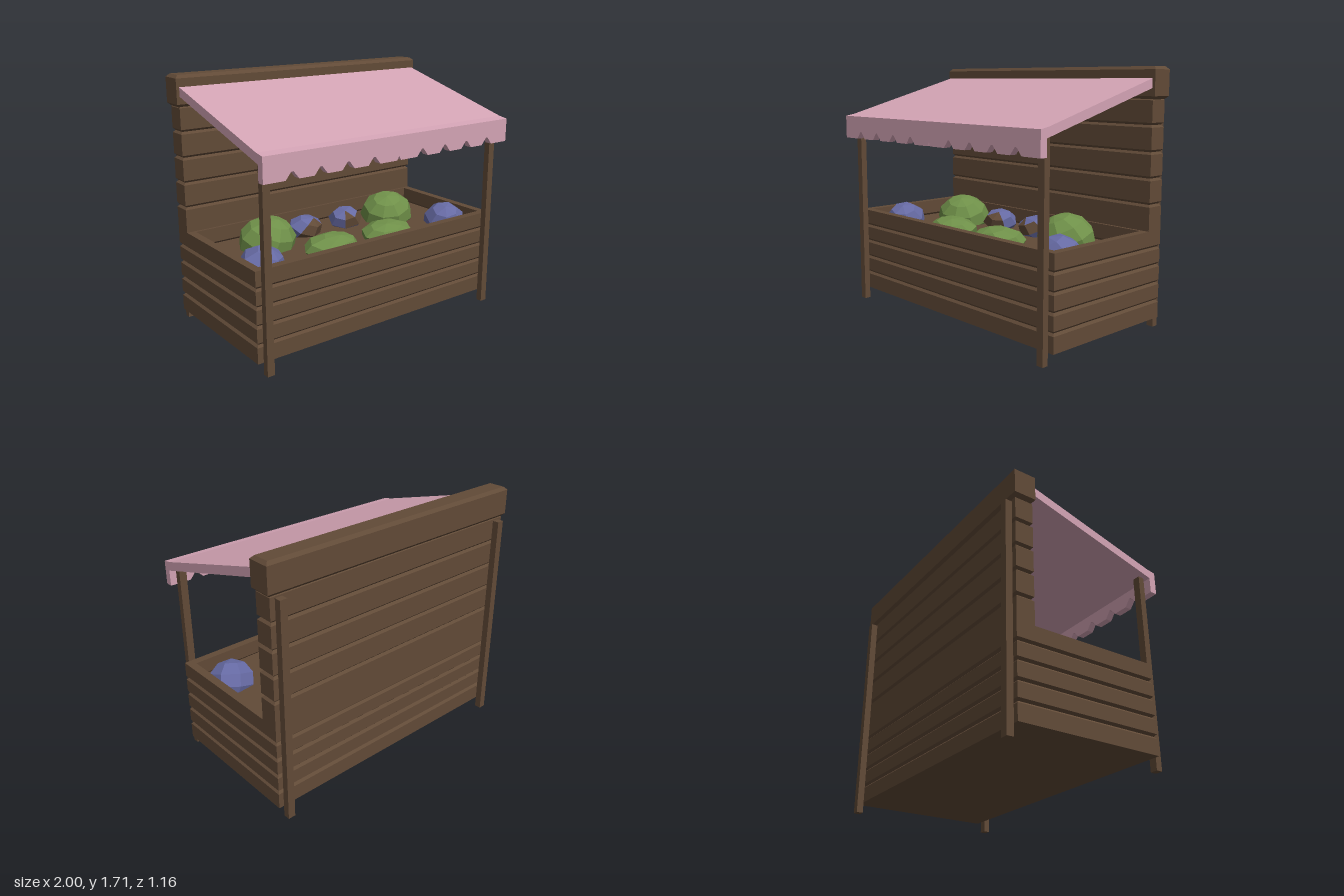
import * as THREE from 'three';

const flat = (name, color) => {
  const m = new THREE.MeshStandardMaterial({ color });
  m.name = name;
  return m;
};

export function createModel() {
  const wood = flat('brown wood', 0x614a37);
  const cloth = flat('pink cloth', 0xd3a3b4);
  const green = flat('leaf green', 0x6f9049);
  const blue = flat('muted blue', 0x666aa3);
  const stall = new THREE.Group();
  stall.name = 'marketStall';

  const add = (name, geometry, material, parent = stall) => {
    const mesh = new THREE.Mesh(geometry, material);
    mesh.name = name;
    parent.add(mesh);
    return mesh;
  };

  const rectangle = (Type, w, z0, z1) => new Type([
    [-w, -z1], [w, -z1], [w, -z0], [-w, -z0],
  ].map(([x, y]) => new THREE.Vector2(x, y)));

  // Horizontal timber with chamfer c on its upper and lower edges, optionally hollow
  const timber = (name, w, y0, y1, z0, z1, c = 0, hole = null) => {
    const shape = rectangle(THREE.Shape, w, z0, z1);
    if (hole) shape.holes.push(rectangle(THREE.Path, ...hole));
    const g = new THREE.ExtrudeGeometry(shape, {
      depth: y1 - y0 - 2 * c, bevelEnabled: c > 0, bevelThickness: c,
      bevelSize: c, bevelOffset: -c, bevelSegments: 1,
    });
    g.rotateX(-Math.PI / 2).translate(0, y0 + c, 0);
    return add(name, g, wood);
  };

  // Counter: flat base, chamfered planks and an open tray on top
  const c = 0.015;
  const back = -0.535, front = 0.465;
  timber('counterBase', 0.98, 0.075, 0.1, back, front);
  const counter = [0.085, 0.195, 0.315, 0.435, 0.552];
  for (let i = 0; i < 4; i++) {
    timber('counterPlank', 0.98, counter[i], counter[i + 1], back, front, c);
  }
  const opening = [0.925, -0.39, 0.41];
  timber('trayPlank', 0.98, 0.552, 0.62, back, front, c, opening);
  timber('trayRim', 0.98, 0.605, 0.665, back, front, 0, opening);

  // Back wall of chamfered planks, with a heavy beam on top
  const wallFront = -0.41;
  timber('wallFoot', 0.98, 0.665, 0.69, back, wallFront);
  const wall = [0.675, 0.835, 1.003, 1.17, 1.34, 1.51];
  for (let i = 0; i < 5; i++) {
    timber('wallPlank', 0.98, wall[i], wall[i + 1], back, wallFront, c);
  }
  timber('topBeam', 1, 1.5, 1.705, -0.55, -0.4, 0.02);

  // Corner posts
  for (const side of [-1, 1]) {
    add('frontPost', new THREE.BoxGeometry(0.05, 1.32, 0.042), wood)
      .position.set(side * 0.92, 0.66, 0.494);
    add('backPost', new THREE.BoxGeometry(0.05, 1.485, 0.045), wood)
      .position.set(side * 0.92, 0.7425, -0.5575);
  }

  // Sloping awning, drawn from the side and extruded across the width
  const slope = new THREE.Shape([
    [-0.4, 1.63], [-0.4, 1.57], [0.535, 1.31], [0.583, 1.31], [0.583, 1.362], [0.52, 1.373],
  ].map(([z, y]) => new THREE.Vector2(-z, y)));
  const awning = new THREE.ExtrudeGeometry(slope, { depth: 1.96, bevelEnabled: false });
  awning.translate(0, 0, -0.98).rotateY(Math.PI / 2);
  add('awning', awning, cloth);

  // Hanging valance with a row of triangular notches
  const edge = [[-0.98, 1.31], [-0.98, 1.205]];
  for (let i = -4; i <= 4; i++) {
    const x = i * 0.197, w = i ? 0.046 : 0.015, h = i ? 0.048 : 0.025;
    edge.push([x - w, 1.205], [x - w * 0.15, 1.205 + h], [x + w * 0.15, 1.205 + h], [x + w, 1.205]);
  }
  edge.push([0.98, 1.205], [0.98, 1.31]);
  const valance = new THREE.ExtrudeGeometry(
    new THREE.Shape(edge.map(([x, y]) => new THREE.Vector2(x, y))),
    { depth: 0.048, bevelEnabled: false });
  valance.translate(0, 0, 0.535);
  add('valance', valance, cloth);

  // Faceted produce: sides, rings, centre, radii, tilt
  const lump = (sides, rings, [rx, ry, rz], tilt, side) => {
    const g = new THREE.SphereGeometry(1, sides, rings);
    g.rotateX(tilt).rotateZ(side * tilt * 0.8).scale(rx, ry, rz);
    const out = g.toNonIndexed();
    out.computeVertexNormals();
    return out;
  };
  const produce = new THREE.Group();
  produce.name = 'produce';
  stall.add(produce);
  const goods = [
    ['largeGreen', green, 9, 6, [0.525, 0.595, -0.14], [0.2, 0.165, 0.19], 0.35],
    ['flatGreen', green, 8, 5, [0.24, 0.585, 0.2], [0.2, 0.09, 0.16], 0.3],
    ['largeBlue', blue, 7, 5, [0.785, 0.58, 0.21], [0.155, 0.13, 0.15], 0.4],
    ['smallBlue', blue, 7, 4, [0.18, 0.6, -0.2], [0.13, 0.09, 0.12], 0.45],
  ];
  for (const [name, material, sides, rings, [x, y, z], radii, tilt] of goods) {
    for (const side of [-1, 1]) {
      const g = lump(sides, rings, radii, tilt, side);
      let paint = material;
      if (name === 'smallBlue') {
        // Brown patch on the facets facing the front
        paint = [blue, wood];
        const n = g.attributes.normal;
        for (let i = 0; i < n.count; i += 3) g.addGroup(i, 3, n.getZ(i) > 0.6 ? 1 : 0);
      }
      add(name, g, paint, produce).position.set(side * x, y, z);
    }
  }
  return stall;
}
